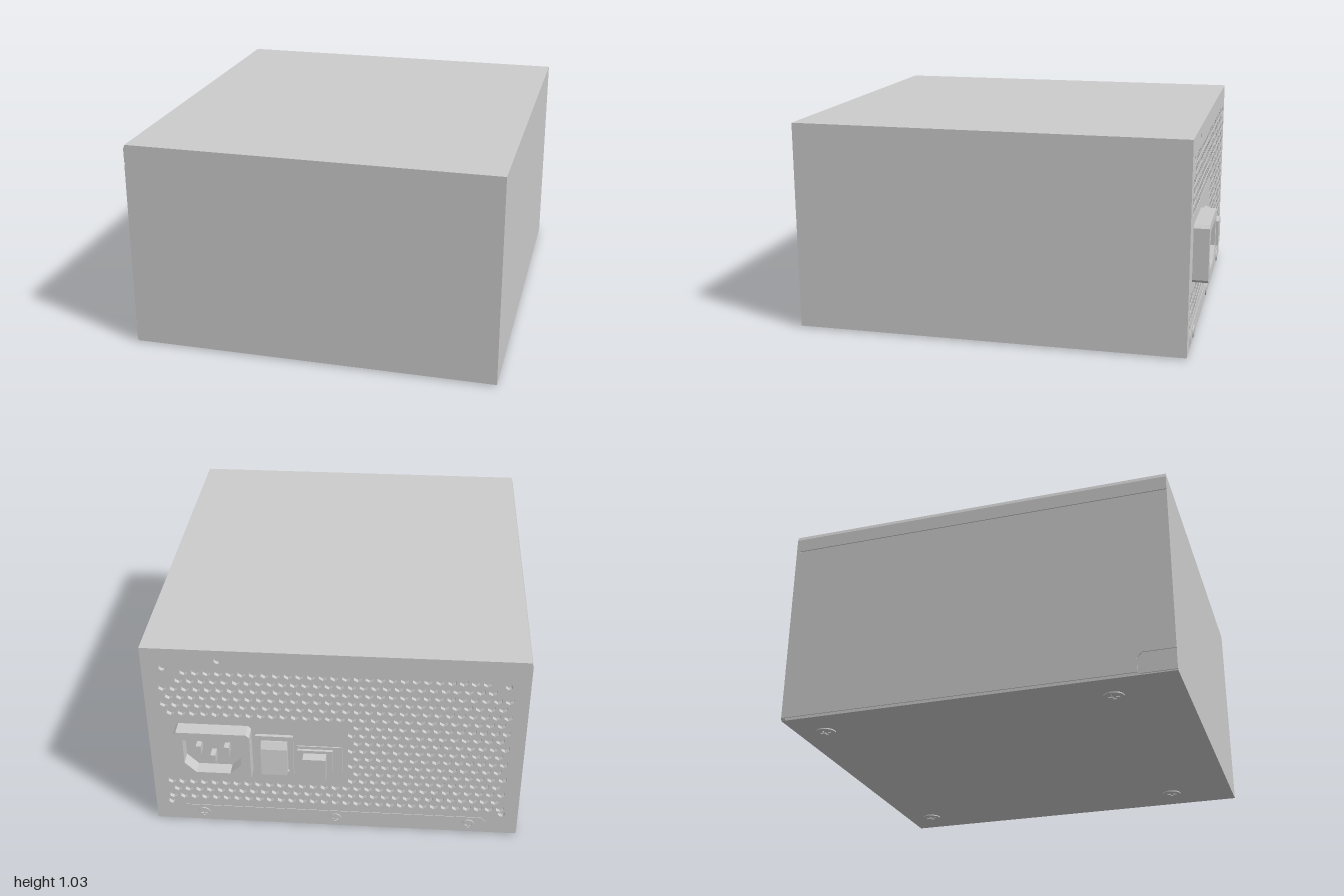
import * as THREE from 'three';

const BACK = -0.925, TOP = 1.035, BASE = 0.006;

export function createModel() {
  const group = new THREE.Group();
  const mat = new THREE.MeshStandardMaterial({ color: 0xcccccc, flatShading: true });

  const add = (name, geometry, parent = group) => {
    const mesh = new THREE.Mesh(geometry, mat);
    mesh.name = name;
    parent.add(mesh);
    return mesh;
  };
  const poly = (points) => new THREE.Shape(points.map(([x, y]) => new THREE.Vector2(x, y)));
  const rect = (x0, x1, y0, y1) => poly([[x0, y0], [x1, y0], [x1, y1], [x0, y1]]);
  const ring = (x, y, r, n, turn = 0) => poly(Array.from({ length: n }, (_, i) => {
    const a = turn + (i / n) * Math.PI * 2;
    return [x + r * Math.cos(a), y + r * Math.sin(a)];
  }));
  // Extrude an XY outline from z0 to z1
  const slab = (shape, z0, z1) =>
    new THREE.ExtrudeGeometry(shape, { depth: z1 - z0, bevelEnabled: false }).translate(0, 0, z0);
  const block = (name, x0, x1, y0, y1, z0, z1, parent) =>
    add(name, slab(rect(x0, x1, y0, y1), z0, z1), parent);

  // Case, with the right side set in to take the cover panel
  add('case', slab(poly([
    [-0.895, BASE], [0.9, BASE], [0.9, TOP], [-0.893, TOP],
    [-0.9, 1.015], [-0.9, 0.947], [-0.895, 0.947],
  ]), -0.905, 1));

  // Side cover with a cut corner, and the small tab that fills it (drawn in z, y)
  const sidePanel = (name, points) => {
    const g = new THREE.ExtrudeGeometry(poly(points), { depth: 0.005, bevelEnabled: false });
    add(name, g.rotateY(-Math.PI / 2).translate(-0.895, 0, 0));
  };
  sidePanel('sideCover', [
    [-0.92, 0.02], [0.82, 0.02], [0.82, 0.09], [0.845, 0.115], [1, 0.115], [1, 0.938], [-0.92, 0.938],
  ]);
  sidePanel('sideTab', [[0.828, 0.012], [1, 0.012], [1, 0.107], [0.848, 0.107], [0.828, 0.087]]);

  // Rear plate: staggered hexagonal vents around a clear area for the connectors
  const plate = poly([[-0.895, BASE], [0.9, BASE], [0.9, TOP], [-0.893, TOP], [-0.9, 1.015], [-0.9, 0.02]]);
  const pitch = 0.054, rowStep = 0.047;
  for (let row = 0; row < 17; row++) {
    const y = 0.16 + row * rowStep;
    for (let col = 0; col < 31; col++) {
      const x = -0.81 + col * pitch + (row % 2) * pitch / 2;
      const clear = x > -0.06 && y > 0.29 && y < 0.64;
      const corner = Math.abs(x) > 0.74 && y > 0.86;
      if (!clear && !corner && x < 0.83) plate.holes.push(ring(x, y, 0.021, 6, Math.PI / 6));
    }
  }
  // Mounting holes
  for (const [x, y] of [[0.8, 0.93], [0.54, 0.98], [-0.8, 0.9], [-0.82, 0.13], [0.82, 0.12]])
    plate.holes.push(ring(x, y, 0.017, 16));
  add('rearPlate', slab(plate, BACK, -0.905));

  // Lower flange on the rear plate
  add('rearFlange', slab(poly([
    [-0.75, 0.015], [0.78, 0.015], [0.78, 0.07], [0.75, 0.1], [-0.72, 0.1], [-0.75, 0.07],
  ]), BACK - 0.003, BACK));

  // Cross-head screws
  const screwShape = (r) => {
    const s = ring(0, 0, r, 24), a = r * 0.14, b = r * 0.55;
    s.holes.push(poly([[a, a], [a, b], [-a, b], [-a, a], [-b, a], [-b, -a],
      [-a, -a], [-a, -b], [a, -b], [a, -a], [b, -a], [b, a]]));
    return s;
  };
  for (const x of [-0.66, 0, 0.66])
    add('rearScrew', slab(screwShape(0.03), -0.006, 0)).position.set(x, 0.055, BACK - 0.003);
  for (const x of [-0.71, 0.71]) for (const z of [0.67, -0.78]) {
    const screw = add('bottomScrew', slab(screwShape(0.05), 0, BASE));
    screw.rotation.x = -Math.PI / 2;
    screw.position.set(x, 0, z);
  }

  // Power inlet: hollow housing, floor and three pins
  const inlet = new THREE.Group();
  inlet.name = 'powerInlet';
  group.add(inlet);
  const housing = poly([
    [0.4, 0.345], [0.415, 0.33], [0.75, 0.33], [0.765, 0.345],
    [0.765, 0.595], [0.75, 0.61], [0.415, 0.61], [0.4, 0.595],
  ]);
  housing.holes.push(poly([[0.445, 0.43], [0.5, 0.375], [0.665, 0.375], [0.72, 0.43], [0.72, 0.565], [0.445, 0.565]]));
  add('inletHousing', slab(housing, -1, BACK), inlet);
  block('inletFloor', 0.42, 0.745, 0.35, 0.59, -0.932, BACK, inlet);
  for (const [x, y] of [[0.515, 0.495], [0.5825, 0.445], [0.65, 0.495]])
    block('inletPin', x - 0.012, x + 0.012, y - 0.025, y + 0.025, -0.985, -0.93, inlet);

  // Rocker switch: frame and a rocker tilted out at its lower edge (drawn in z, y)
  const rocker = new THREE.Group();
  rocker.name = 'rockerSwitch';
  group.add(rocker);
  const frame = rect(0.2, 0.38, 0.33, 0.565);
  frame.holes.push(rect(0.222, 0.358, 0.355, 0.54));
  add('rockerFrame', slab(frame, -0.942, BACK), rocker);
  const wedge = poly([[BACK, 0.36], [BACK, 0.535], [-0.942, 0.535], [-0.962, 0.5], [-0.98, 0.362]]);
  add('rocker', new THREE.ExtrudeGeometry(wedge, { depth: 0.125, bevelEnabled: false })
    .rotateY(-Math.PI / 2).translate(0.3525, 0, 0), rocker);

  // Push switch: stepped collar and button
  const push = new THREE.Group();
  push.name = 'pushSwitch';
  group.add(push);
  block('pushSwitchFlange', -0.035, 0.185, 0.315, 0.505, -0.931, BACK, push);
  block('pushSwitchCollar', 0.01, 0.18, 0.33, 0.49, -0.945, -0.931, push);
  block('pushButton', 0.04, 0.15, 0.345, 0.475, -0.995, -0.945, push);

  return group;
}
